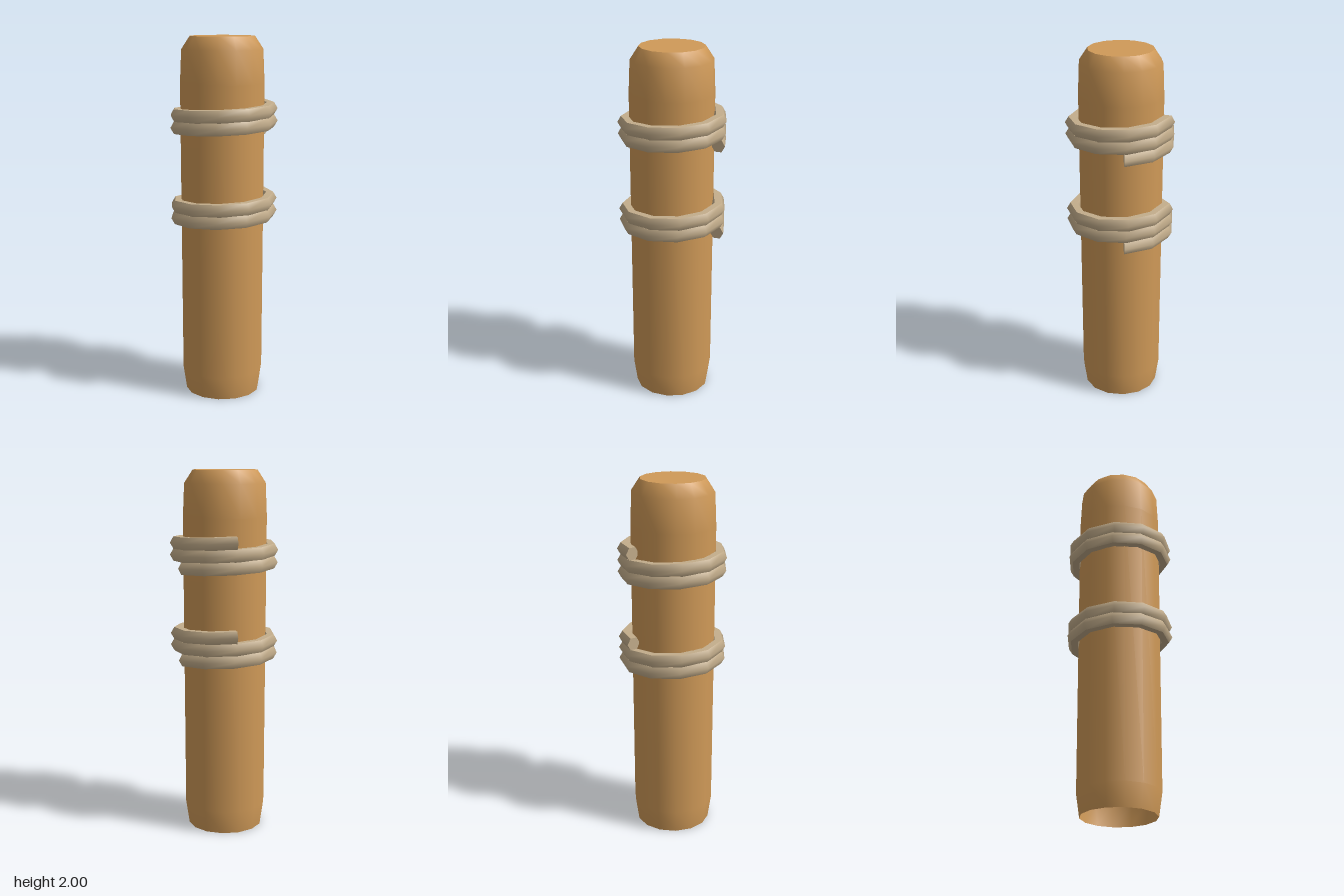
import * as THREE from 'three';
import { mergeGeometries } from 'three/addons/utils/BufferGeometryUtils.js';

const SEGMENTS = 24;                          // rope segments along the coil
const SWEEP = THREE.MathUtils.degToRad(790);  // just over two turns
const PITCH = 0.066;                          // rise per turn
const COIL_RADIUS = 0.259, ROPE_RADIUS = 0.039;

// Point on the coiled rope: step i along it, section angle in degrees
function ropePoint(i, degrees) {
  const a = SWEEP * i / SEGMENTS;
  const t = THREE.MathUtils.degToRad(degrees);
  const r = COIL_RADIUS + ROPE_RADIUS * Math.cos(t);
  const y = PITCH * a / (2 * Math.PI) + ROPE_RADIUS * Math.sin(t);
  return [r * Math.cos(a), y, -r * Math.sin(a)];
}

function makeGeometry(positions, indices) {
  const g = new THREE.BufferGeometry();
  g.setAttribute('position', new THREE.Float32BufferAttribute(positions, 3));
  g.setIndex(indices);
  g.computeVertexNormals();
  return g;
}

// One smooth band of the rope between the given section angles
function ropeStrip(angles) {
  const n = angles.length, positions = [], indices = [];
  for (let i = 0; i <= SEGMENTS; i++) {
    for (const d of angles) positions.push(...ropePoint(i, d));
  }
  for (let i = 0; i < SEGMENTS; i++) {
    for (let k = 0; k < n - 1; k++) {
      const a = i * n + k, b = a + n;
      indices.push(a, b, b + 1, a, b + 1, a + 1);
    }
  }
  return makeGeometry(positions, indices);
}

// Flat hexagonal cut at a rope end
function ropeEnd(i, angles) {
  const positions = angles.flatMap((d) => ropePoint(i, d));
  return makeGeometry(positions, [0, 1, 2, 0, 2, 3, 0, 3, 4, 0, 4, 5]);
}

function ropeGeometry() {
  const hexagon = [0, 60, 120, 180, 240, 300];
  return mergeGeometries([
    ropeStrip([-60, 0, 60]),      // rounded outside
    ropeStrip([60, 120]),         // flat top
    ropeStrip([120, 180, 240]),   // inside against the post
    ropeStrip([240, 300]),        // flat underside
    ropeEnd(0, hexagon),
    ropeEnd(SEGMENTS, [...hexagon].reverse()),
  ]);
}

export function createModel() {
  const model = new THREE.Group();
  model.name = 'ropedPost';
  const wood = new THREE.MeshStandardMaterial({ color: 0xd09a58, side: THREE.DoubleSide });
  wood.name = 'wood';
  const rope = new THREE.MeshStandardMaterial({ color: 0xc4ae8c });
  rope.name = 'rope';

  const post = new THREE.Group();
  post.name = 'post';
  post.position.set(-0.004, 0, -0.002);
  model.add(post);

  // Fourteen-sided shaft, open underneath, with a chamfered head
  const profile = [[0.207, 0], [0.226, 0.13], [0.231, 1.75], [0.223, 1.93], [0.177, 2]]
    .map(([r, y]) => new THREE.Vector2(r, y));
  const shaft = new THREE.Mesh(new THREE.LatheGeometry(profile, 14, Math.PI / 2), wood);
  shaft.name = 'shaft';
  post.add(shaft);

  // Flat top of the post
  const top = new THREE.Mesh(new THREE.CircleGeometry(0.177, 14).rotateX(-Math.PI / 2), wood);
  top.name = 'postTop';
  top.position.y = 2;
  post.add(top);

  // Two identical rope wraps
  const coil = ropeGeometry();
  [['lowerRope', 0.983], ['upperRope', 1.483]].forEach(([name, y]) => {
    const wrap = new THREE.Mesh(coil, rope);
    wrap.name = name;
    wrap.position.y = y;
    model.add(wrap);
  });

  return model;
}
